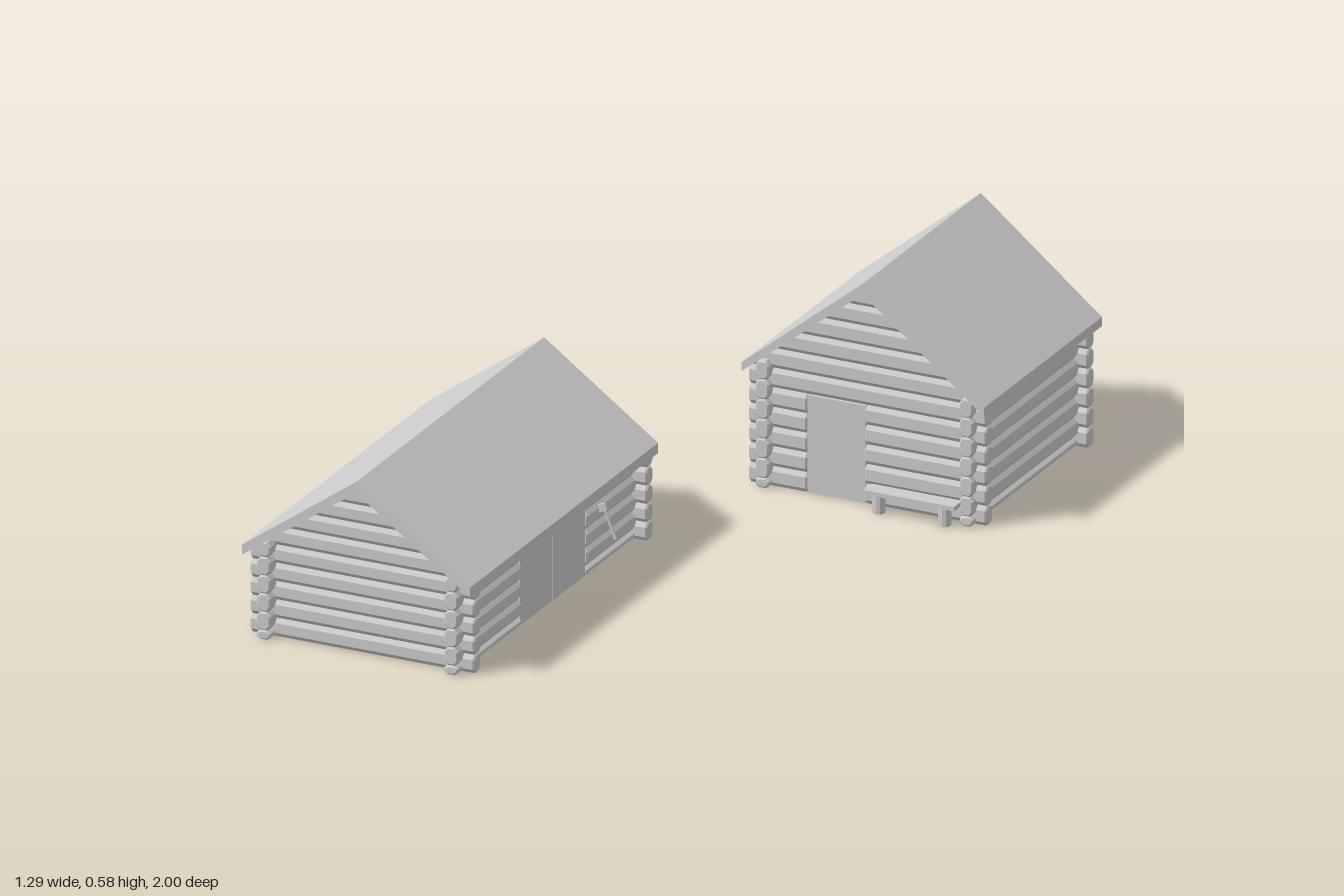
import * as THREE from 'three';

const material = new THREE.MeshStandardMaterial({ color: 0xcccccc, flatShading: true });
const THICK = 0.036;

function add(parent, name, geometry, x = 0, y = 0, z = 0) {
  const mesh = new THREE.Mesh(geometry, material);
  mesh.name = name;
  mesh.position.set(x, y, z);
  parent.add(mesh);
  return mesh;
}

// Eight-sided log section, flat where it rests on its neighbours
function logSection(h) {
  const w = THICK / 2, k = h / 2, cx = 0.009, cy = Math.min(0.011, h * 0.3);
  return new THREE.Shape([
    [w, -k + cy], [w, k - cy], [w - cx, k], [-w + cx, k],
    [-w, k - cy], [-w, -k + cy], [-w + cx, -k], [w - cx, -k],
  ].map(([x, y]) => new THREE.Vector2(x, y)));
}

// Log running from a to b with bevelled ends; alongX picks its direction
function addLog(parent, alongX, a, b, y0, y1, offset) {
  const h = y1 - y0, bevel = 0.004;
  const geo = new THREE.ExtrudeGeometry(logSection(h), {
    depth: b - a - 2 * bevel, bevelThickness: bevel, bevelSize: bevel,
    bevelOffset: -bevel, bevelSegments: 1, steps: 1,
  });
  geo.translate(0, 0, a + bevel);
  if (alongX) geo.rotateY(Math.PI / 2);
  const y = (y0 + y1) / 2;
  if (alongX) add(parent, 'endLog', geo, 0, y, offset);
  else add(parent, 'sideLog', geo, offset, y, 0);
}

// Log split in two where it meets a door opening
function addWallLog(parent, alongX, a, b, y0, y1, offset, door) {
  if (door && y0 < door.top - 0.01) {
    addLog(parent, alongX, a, door.a, y0, y1, offset);
    addLog(parent, alongX, door.b, b, y0, y1, offset);
  } else addLog(parent, alongX, a, b, y0, y1, offset);
}

// Gable log whose ends follow the roof slope
function addGableLog(parent, y0, y1, z, halfWidth) {
  const y = (y0 + y1) / 2;
  const geo = new THREE.ExtrudeGeometry(logSection(y1 - y0), { depth: 2, bevelEnabled: false });
  geo.translate(0, 0, -1);
  geo.rotateY(Math.PI / 2);
  const p = geo.attributes.position;
  for (let i = 0; i < p.count; i++) {
    p.setX(i, Math.sign(p.getX(i)) * halfWidth(y + p.getY(i)));
  }
  geo.computeVertexNormals();
  add(parent, 'gableLog', geo, 0, y, z);
}

function addRoof(parent, o) {
  const { half, eave, eaveUnder, ridge, ridgeUnder, zBack, zFront } = o;
  const shape = new THREE.Shape([
    [-half, eaveUnder], [0, ridgeUnder], [half, eaveUnder],
    [half, eave], [0, ridge], [-half, eave],
  ].map(([x, y]) => new THREE.Vector2(x, y)));
  const geo = new THREE.ExtrudeGeometry(shape, { depth: zFront - zBack, bevelEnabled: false });
  add(parent, 'roof', geo, 0, 0, zBack);
}

// Log building, centred on its own x = 0
function logBuilding(name, o) {
  const g = new THREE.Group();
  g.name = name;
  const { pitch, rows, zEnds, logHalf, wallX, zBack, zFront } = o;
  const top = pitch * rows;

  // Front and back walls
  zEnds.forEach((z, i) => {
    for (let r = 0; r < rows; r++) {
      addWallLog(g, true, -logHalf, logHalf, r * pitch, (r + 1) * pitch, z, i === 1 && o.frontDoor);
    }
    // Gable up to the ridge
    const slope = (o.ridgeUnder - o.eaveUnder) / o.half;
    const halfWidth = y => Math.max(0.001, (o.ridgeUnder - y) / slope);
    for (let y = top; y < o.ridgeUnder - 0.004; y += pitch) {
      addGableLog(g, y, Math.min(y + pitch, o.ridgeUnder), z, halfWidth);
    }
  });

  // Side walls, set half a log out of step so the corners interlock
  for (const s of [-1, 1]) {
    for (let r = 0; r <= rows; r++) {
      const y0 = Math.max(0, (r - 0.5) * pitch);
      const y1 = Math.min((r + 0.5) * pitch, o.sideTop);
      addWallLog(g, false, zBack + 0.005, zFront - 0.005, y0, y1, s * wallX, s === 1 && o.sideDoor);
    }
  }
  addRoof(g, o);
  return g;
}

// Bench of a plank on two round stumps
function bench() {
  const g = new THREE.Group();
  g.name = 'bench';
  add(g, 'benchSeat', new THREE.BoxGeometry(0.24, 0.011, 0.045), 0, 0.054, 0);
  for (const x of [-0.09, 0.085]) {
    add(g, 'benchLeg', new THREE.CylinderGeometry(0.016, 0.016, 0.049, 10), x, 0.0245, 0);
  }
  return g;
}

// Axe stuck in the wall, handle hanging outwards
function axe() {
  const g = new THREE.Group();
  g.name = 'axe';
  const handle = add(g, 'axeHandle', new THREE.CylinderGeometry(0.003, 0.004, 0.085, 6), 0.02, -0.03, 0);
  handle.rotation.z = 0.4;
  const head = add(g, 'axeHead', new THREE.BoxGeometry(0.036, 0.018, 0.008), -0.004, 0.004, 0);
  head.rotation.z = 0.4;
  return g;
}

export function createModel() {
  const model = new THREE.Group();
  model.name = 'logBuildings';

  // Long barn
  const barnDoor = { a: 0.3, b: 0.65, top: 0.21 };
  const barn = logBuilding('barn', {
    pitch: 0.047, rows: 5, zBack: -0.005, zFront: 1, zEnds: [0.03, 0.95],
    logHalf: 0.297, wallX: 0.248, sideTop: 0.25, sideDoor: barnDoor,
    half: 0.302, eave: 0.236, eaveUnder: 0.21, ridge: 0.452, ridgeUnder: 0.424,
  });
  barn.position.x = -0.343;
  for (const z of [0.388, 0.563]) {
    add(barn, 'barnDoor', new THREE.BoxGeometry(0.02, 0.21, 0.172), 0.25, 0.106, z);
  }
  const tool = axe();
  tool.position.set(0.272, 0.148, 0.235);
  barn.add(tool);
  model.add(barn);

  // Taller house
  const houseDoor = { a: -0.16, b: -0.007, top: 0.25 };
  const house = logBuilding('house', {
    pitch: 0.0505, rows: 6, zBack: -1, zFront: -0.37, zEnds: [-0.952, -0.411],
    logHalf: 0.315, wallX: 0.27, sideTop: 0.326, frontDoor: houseDoor,
    half: 0.321, eave: 0.316, eaveUnder: 0.293, ridge: 0.576, ridgeUnder: 0.548,
  });
  house.position.x = 0.32;
  add(house, 'houseDoor', new THREE.BoxGeometry(0.153, 0.25, 0.02), -0.0835, 0.126, -0.407);
  add(house, 'gableVent', new THREE.BoxGeometry(0.03, 0.016, 0.046), 0, 0.42, -0.952);
  const seat = bench();
  seat.position.set(0.135, 0, -0.364);
  house.add(seat);
  model.add(house);

  return model;
}
